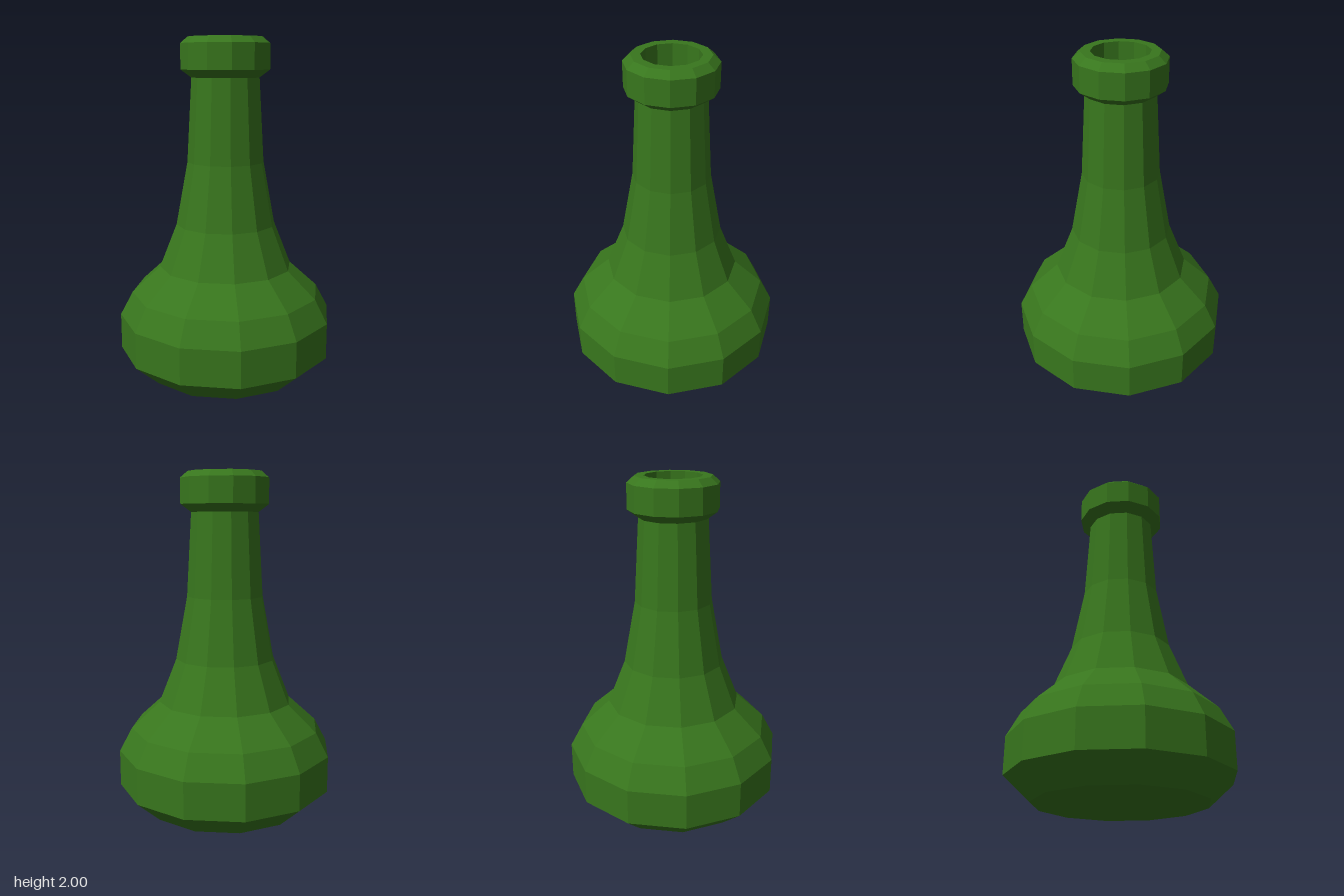
import * as THREE from 'three';

const SIDES = 12;

export function createModel() {
  const group = new THREE.Group();
  group.name = 'bottle';
  const glass = new THREE.MeshStandardMaterial({ color: 0x38761d, flatShading: true });

  // Turns a [radius, height] profile into a faceted part
  function turned(name, profile) {
    const points = profile.map(([r, y]) => new THREE.Vector2(r, y));
    const mesh = new THREE.Mesh(new THREE.LatheGeometry(points, SIDES), glass);
    mesh.name = name;
    group.add(mesh);
  }

  // Closed base, bulging belly and shoulder
  turned('body', [[0, 0], [0.495, 0], [0.645, 0.135], [0.645, 0.35], [0.57, 0.49], [0.4, 0.645]]);

  // Tapering neck
  turned('neck', [[0.4, 0.645], [0.297, 0.905], [0.228, 1.28], [0.2, 1.77]]);

  // Bevelled collar around the mouth
  turned('lip', [[0.2, 1.77], [0.262, 1.815], [0.262, 1.963], [0.219, 2], [0.165, 2]]);

  // Inside of the mouth with its floor
  turned('mouth', [[0.165, 2], [0.165, 1.6], [0, 1.6]]);

  return group;
}
